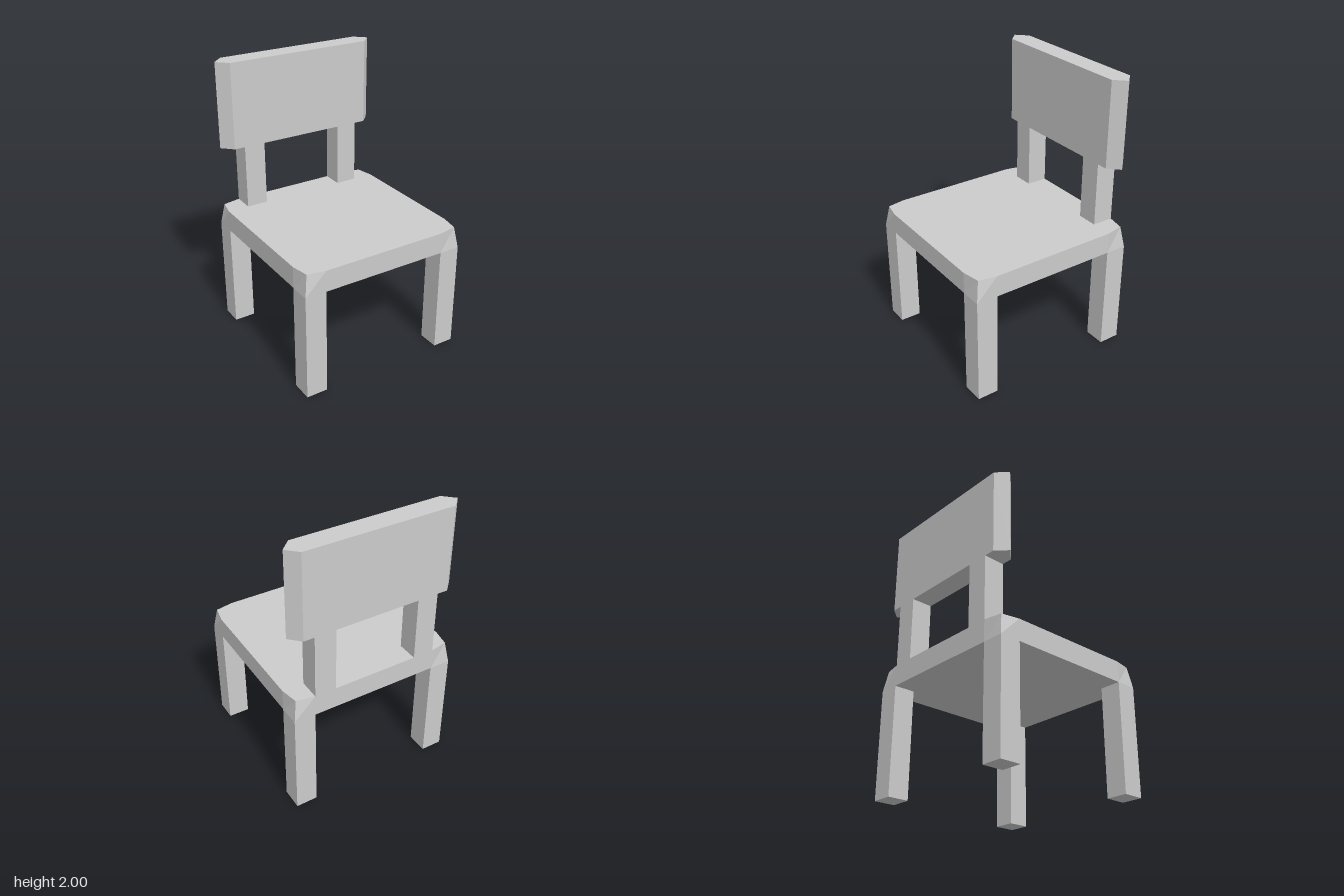
import * as THREE from 'three';

const HALF = 0.613, INNER = 0.46, THICK = HALF - INNER;
const SEAT_BOTTOM = 0.773, SEAT_TOP = 0.926, BACK_BOTTOM = 1.387, TOP = 2;

const material = new THREE.MeshStandardMaterial({ color: 0xcccccc, flatShading: true });

function addPart(group, name, geometry, x, y, z) {
  const mesh = new THREE.Mesh(geometry, material);
  mesh.name = name;
  mesh.position.set(x, y, z);
  group.add(mesh);
}

// Seat slab in a 3 x 3 layout whose four top corners are drawn inward
function seatGeometry() {
  const h = SEAT_TOP - SEAT_BOTTOM;
  const geometry = new THREE.BoxGeometry(2, h, 2, 3, 1, 3);
  const p = geometry.attributes.position;
  const place = (v) => Math.sign(v) * (Math.abs(v) > 0.9 ? HALF : INNER);
  for (let i = 0; i < p.count; i++) {
    const x = place(p.getX(i)), z = place(p.getZ(i));
    const corner = Math.abs(x) === HALF && Math.abs(z) === HALF && p.getY(i) > 0;
    const k = corner ? 0.588 / HALF : 1;
    p.setX(i, x * k);
    p.setZ(i, z * k);
  }
  geometry.computeVertexNormals();
  return geometry;
}

// Backrest panel: a long hexagon with pointed ends, extruded upward
function backrestGeometry() {
  const e = 0.537, d = THICK / 2;
  const outline = [[-e, -d], [e, -d], [HALF, 0], [e, d], [-e, d], [-HALF, 0]];
  const shape = new THREE.Shape(outline.map(([x, y]) => new THREE.Vector2(x, y)));
  const geometry = new THREE.ExtrudeGeometry(shape, { depth: TOP - BACK_BOTTOM, bevelEnabled: false });
  return geometry.rotateX(-Math.PI / 2);
}

export function createModel() {
  const chair = new THREE.Group();
  chair.name = 'chair';
  const mid = (HALF + INNER) / 2;

  addPart(chair, 'seat', seatGeometry(), 0, (SEAT_BOTTOM + SEAT_TOP) / 2, 0);
  addPart(chair, 'backrest', backrestGeometry(), 0, BACK_BOTTOM, -mid);

  const leg = new THREE.BoxGeometry(THICK, SEAT_BOTTOM, THICK);
  const post = new THREE.BoxGeometry(THICK, BACK_BOTTOM - SEAT_TOP, THICK);
  for (const side of [1, -1]) {
    const label = side > 0 ? 'left' : 'right';
    // Legs stand flush with the seat corners
    addPart(chair, label + 'FrontLeg', leg, side * mid, SEAT_BOTTOM / 2, mid);
    addPart(chair, label + 'BackLeg', leg, side * mid, SEAT_BOTTOM / 2, -mid);
    // Posts carry the backrest
    addPart(chair, label + 'BackPost', post, side * (INNER - THICK / 2), (SEAT_TOP + BACK_BOTTOM) / 2, -mid);
  }
  return chair;
}
